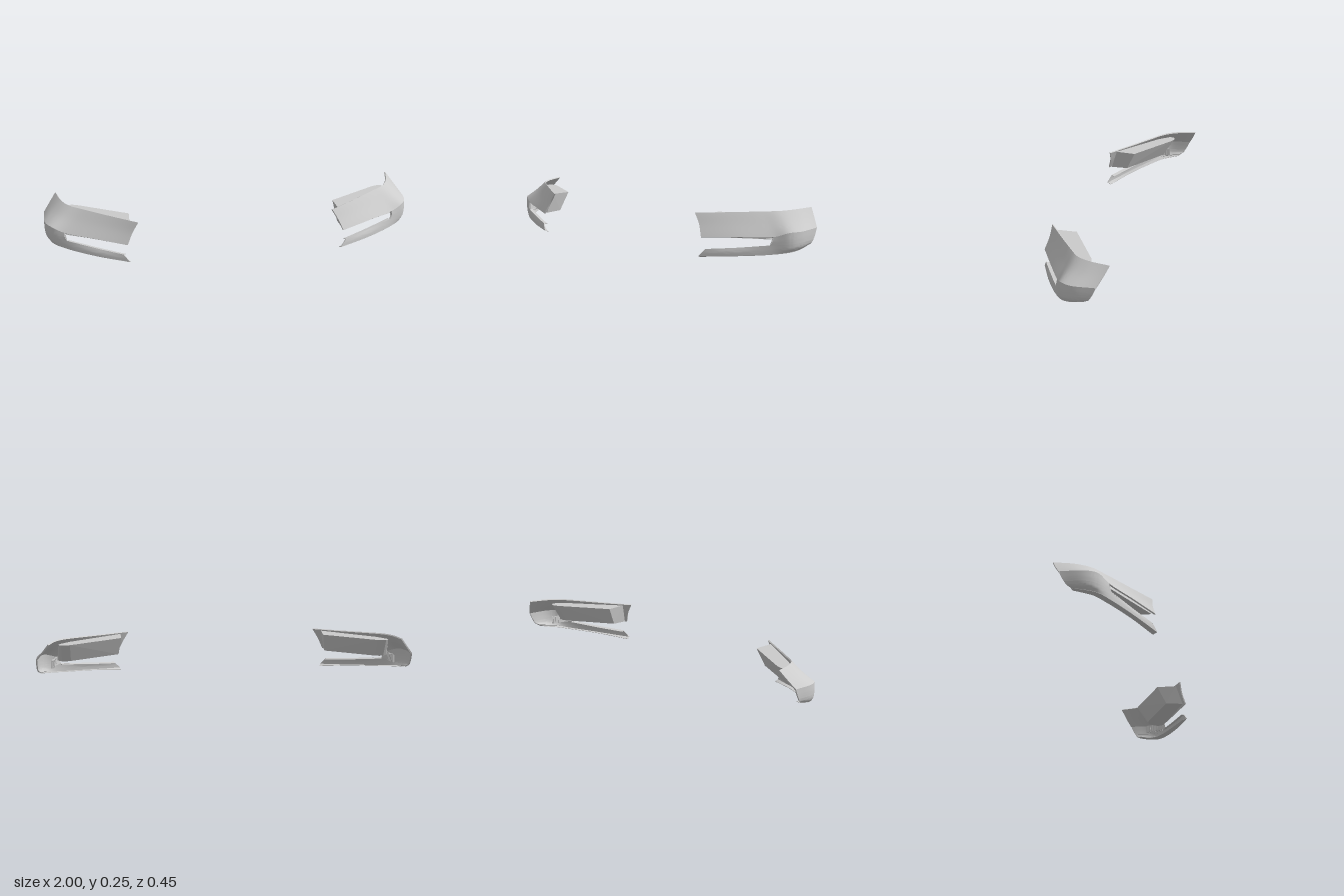
import * as THREE from 'three';
import { toCreasedNormals } from 'three/addons/utils/BufferGeometryUtils.js';
import { ConvexGeometry } from 'three/addons/geometries/ConvexGeometry.js';

const material = new THREE.MeshStandardMaterial({ color: 0xcccccc, side: THREE.DoubleSide });
const vec = (p) => new THREE.Vector3(...p);

// Guide curves of the left corner, each running from the front end to the rear edge
const topEdge = [[.52, .22, .197], [.66, .226, .101], [.79, .233, .01], [.865, .237, -.048], [.904, .241, -.115], [.932, .245, -.224]];
const upperMid = [[.552, .165, .202], [.695, .17, .117], [.84, .177, .027], [.918, .188, -.026], [.951, .192, -.09], [.965, .2, -.203]];
const upperLow = [[.58, .105, .22], [.74, .113, .135], [.9, .121, .046], [.968, .144, .006], [.997, .147, -.05], [1, .153, -.178]];
const sideMid = [[.59, .08, .214], [.74, .09, .137], [.899, .1, .05], [.972, .108, .005], [.998, .115, -.05], [1, .118, -.163]];
const stripTop = [[.6, .046, .207], [.74, .06, .135], [.888, .079, .057], [.972, .087, .004], [.997, .092, -.05], [.999, .098, -.152]];
const stripMid = [[.585, .028, .217], [.74, .041, .143], [.888, .055, .059], [.97, .064, .002], [.993, .07, -.05], [.995, .08, -.14]];
const stripLow = [[.57, .01, .225], [.738, .02, .146], [.887, .034, .06], [.958, .045, .003], [.98, .053, -.05], [.983, .067, -.12]];
const lipEdge = [[.562, .001, .203], [.72, .022, .12], [.86, .036, .035], [.928, .047, -.02], [.95, .055, -.065], [.958, .069, -.118]];

// Thickened smooth panel lofted across guide curves (listed top to bottom),
// covering the stretch from u0 to u1 of their length
function panel(rows, nu, nv, thickness, u0 = 0, u1 = 1) {
  const curves = rows.map((r) => new THREE.CatmullRomCurve3(r.map(vec)));
  const outer = [], index = [], W = nv + 1;
  for (let i = 0; i <= nu; i++) {
    const u = u0 + (u1 - u0) * i / nu;
    const across = new THREE.CatmullRomCurve3(curves.map((c) => c.getPoint(u)));
    for (let j = 0; j <= nv; j++) outer.push(across.getPoint(j / nv));
  }
  const quad = (a, b, c, d) => index.push(a, b, c, a, c, d);
  const id = (i, j) => i * W + j;
  for (let i = 0; i < nu; i++)
    for (let j = 0; j < nv; j++) quad(id(i, j), id(i, j + 1), id(i + 1, j + 1), id(i + 1, j));

  // Inner skin follows the normals of the outer skin
  const skin = new THREE.BufferGeometry().setFromPoints(outer);
  skin.setIndex([...index]);
  skin.computeVertexNormals();
  const normals = skin.attributes.normal;
  const inner = outer.map((p, k) => p.clone().addScaledVector(new THREE.Vector3().fromBufferAttribute(normals, k), -thickness));
  const N = outer.length, faces = index.length;
  for (let k = 0; k < faces; k += 3) index.push(index[k] + N, index[k + 2] + N, index[k + 1] + N);

  // Rim around the border
  const loop = [];
  for (let j = 0; j < nv; j++) loop.push(id(0, j));
  for (let i = 0; i < nu; i++) loop.push(id(i, nv));
  for (let j = nv; j > 0; j--) loop.push(id(nu, j));
  for (let i = nu; i > 0; i--) loop.push(id(i, 0));
  loop.forEach((a, k) => {
    const b = loop[(k + 1) % loop.length];
    quad(a + N, b + N, b, a);
  });
  const geo = new THREE.BufferGeometry().setFromPoints([...outer, ...inner]);
  geo.setIndex(index);
  return toCreasedNormals(geo, 0.7);
}

// Lamp housing: block with a rounded outer rear corner, its underside rising to the rear
function housing() {
  const top = [[.56, .165], [.555, .055], [.825, -.105], [.85, -.113], [.872, -.11], [.886, -.098], [.882, -.075], [.83, -.02]];
  const rear = [[.572, .105], [.825, -.04], [.85, -.048], [.872, -.045], [.89, -.03]];
  const front = [[.58, .2], [.9, .005], [.888, .04]];
  const level = (points, y) => points.map(([x, z]) => new THREE.Vector3(x, y, z));
  return new ConvexGeometry([...level(top, .213), ...level(rear, .112), ...level(front, .106)]);
}

// Small vertical ribs on the wall behind the slot
function rib(k) {
  const t = k / 6;
  return new THREE.BoxGeometry(.014, .04, .005).translate(.908 + .016 * t, .098, .03 - .09 * t);
}

// Copy of a geometry reflected in x with its corner order reversed
function mirrored(geometry) {
  const geo = geometry.index ? geometry.toNonIndexed() : geometry.clone();
  for (const name of ['position', 'normal']) {
    const a = geo.attributes[name];
    for (let k = 0; k < a.count; k += 3) {
      const p = [0, 2, 1].map((o) => [-a.getX(k + o), a.getY(k + o), a.getZ(k + o)]);
      p.forEach((q, o) => a.setXYZ(k + o, ...q));
    }
  }
  return geo;
}

export function createModel() {
  const model = new THREE.Group();
  const slotWall = [
    [[.898, .121, .046], [.912, .121, 0], [.925, .121, -.07]],
    [[.888, .079, .056], [.908, .079, 0], [.925, .079, -.07]],
  ];
  // Narrow flange behind the top of the lower strip
  const flangeEdge = stripTop.map(([x, y, z]) => [x - .01, y - .004, z - .018]);
  const parts = {
    upperPanel: panel([topEdge, upperMid, upperLow], 40, 12, .007),
    sidePanel: panel([upperLow, sideMid, stripTop], 24, 8, .007, .4, 1),
    lowerStrip: panel([stripTop, stripMid, stripLow], 40, 6, .006),
    lowerLip: panel([stripLow, lipEdge], 40, 2, -.002),
    stripFlange: panel([flangeEdge, stripTop], 16, 1, .003, 0, .4),
    slotWall: panel(slotWall, 8, 1, .003),
    lampHousing: housing(),
  };
  for (let k = 0; k < 7; k++) parts['slotRib' + (k + 1)] = rib(k);

  for (const side of ['left', 'right']) {
    const corner = new THREE.Group();
    corner.name = side + 'BumperCorner';
    for (const [name, geo] of Object.entries(parts)) {
      const mesh = new THREE.Mesh(side === 'left' ? geo : mirrored(geo), material);
      mesh.name = name;
      corner.add(mesh);
    }
    model.add(corner);
  }
  return model;
}
